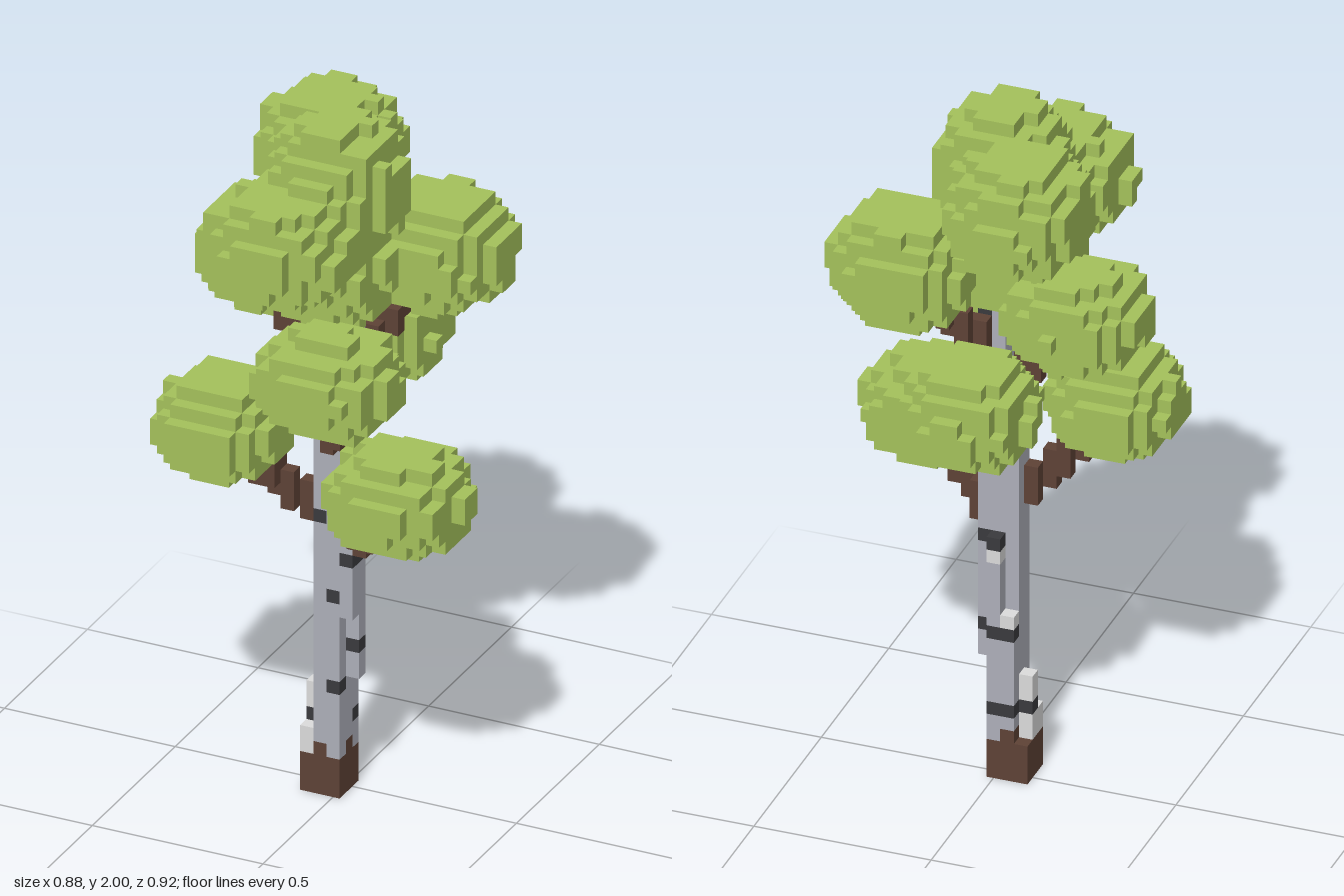
import * as THREE from 'three';

const V = 2 / 52; // edge of one cube
const mat = (name, color) => new THREE.MeshStandardMaterial({ name, color });

export function createModel() {
  const mats = {
    leaf: mat('leaf green', 0xa4c15b),
    bark: mat('grey bark', 0xadafb9),
    pale: mat('pale bark', 0xdcdcdc),
    dark: mat('dark bark mark', 0x3a3a3d),
    wood: mat('brown wood', 0x5e4236),
  };
  const cells = new Map(); // every filled cube, used to skip hidden faces
  const parts = new Map(); // part name -> material and its cubes
  const key = (i, j, k) => `${i},${j},${k}`;

  function put(part, material, i, j, k) {
    const id = key(i, j, k);
    if (cells.has(id)) return;
    cells.set(id, part);
    if (!parts.has(part)) parts.set(part, { material, list: [] });
    parts.get(part).list.push([i, j, k]);
  }
  function fill(part, material, [i0, i1], [j0, j1], [k0, k1]) {
    for (let i = i0; i <= i1; i++)
      for (let j = j0; j <= j1; j++)
        for (let k = k0; k <= k1; k++) put(part, material, i, j, k);
  }

  // Dark marks and pale patches sit in the trunk surface, so they are placed first
  const marks = [
    [0, 8, 1], [0, 15, 1], [1, 11, 0], [0, 11, -1], [-1, 11, -1], [-2, 5, 0], [-1, 5, -1],
    [0, 5, -1], [-1, 21, 1], [0, 27, 1], [-1, 30, 1], [1, 36, 0],
  ];
  for (const m of marks) put('barkMarks', mats.dark, ...m);
  fill('barkMarks', mats.dark, [1, 1], [18, 18], [0, 1]);
  put('barkMarks', mats.dark, 0, 18, -1);
  fill('palePatches', mats.pale, [-2, -2], [3, 7], [0, 0]);
  fill('palePatches', mats.pale, [-2, -2], [3, 4], [1, 1]);
  put('palePatches', mats.pale, 0, 17, -1);
  put('palePatches', mats.pale, -1, 12, -1);
  put('palePatches', mats.pale, -1, 29, 1);

  // Brown foot with a ragged rim
  fill('trunkFoot', mats.wood, [-2, 0], [0, 2], [-1, 1]);
  for (const [i, k] of [[-1, 1], [0, 0], [-1, -1]]) put('trunkFoot', mats.wood, i, 3, k);

  // Leaning trunk, shifting sideways and forward in steps
  fill('trunk', mats.bark, [-1, 0], [3, 18], [0, 1]);
  fill('trunk', mats.bark, [-1, -1], [3, 11], [-1, -1]);
  fill('trunk', mats.bark, [0, 0], [3, 17], [-1, -1]);
  fill('trunk', mats.bark, [1, 1], [9, 13], [0, 0]);
  fill('trunk', mats.bark, [1, 1], [14, 17], [0, 1]);
  fill('trunk', mats.bark, [-1, 1], [19, 31], [0, 1]);
  fill('trunk', mats.bark, [0, 1], [32, 36], [0, 1]);

  // Branches: stepped lines of cubes, two high, from the trunk into the leaves
  const branches = [
    [[0.05, 0.72, 0.05], [0.2, 0.93, 0.15]],
    [[-0.05, 0.83, 0.05], [-0.24, 1.0, 0.16]],
    [[0.01, 1.07, 0.09], [0.08, 1.26, 0.26]],
    [[0, 0.98, -0.02], [-0.02, 1.15, -0.23]],
    [[-0.05, 1.18, 0.02], [-0.12, 1.3, -0.02], [-0.24, 1.36, -0.06]],
    [[0.04, 1.29, -0.01], [0.16, 1.46, -0.13]],
  ];
  branches.forEach((path, n) => {
    for (let m = 1; m < path.length; m++)
      for (let t = 0; t <= 1; t += 1 / 24) {
        const p = path[m - 1].map((v, c) => v + (path[m][c] - v) * t);
        const i = Math.round(p[0] / V), j = Math.floor(p[1] / V), k = Math.floor(p[2] / V);
        fill(`branch${n + 1}`, mats.wood, [i, i], [j, j + 1], [k, k]);
      }
  });

  // Leaf clumps: centre and half sizes
  const clumps = [
    [[0, 1.81, 0.05], [0.174, 0.19, 0.17]],
    [[-0.115, 1.81, -0.15], [0.185, 0.155, 0.19]],
    [[-0.07, 1.71, 0.245], [0.2, 0.145, 0.178]],
    [[0.21, 1.585, -0.14], [0.19, 0.155, 0.175]],
    [[-0.25, 1.485, -0.075], [0.187, 0.135, 0.172]],
    [[-0.02, 1.585, 0.055], [0.18, 0.162, 0.175]],
    [[0.095, 1.355, 0.29], [0.19, 0.135, 0.172]],
    [[-0.27, 1.1, 0.175], [0.172, 0.135, 0.175]],
    [[0.237, 0.985, 0.165], [0.19, 0.135, 0.18]],
    [[-0.02, 1.255, -0.27], [0.175, 0.14, 0.187]],
  ];
  clumps.forEach(([c, r], n) => {
    for (let i = -11; i <= 11; i++)
      for (let j = 18; j < 52; j++)
        for (let k = -12; k < 12; k++) {
          const p = [i * V, (j + 0.5) * V, (k + 0.5) * V];
          const d = p.reduce((s, v, a) => s + Math.abs((v - c[a]) / r[a]) ** 2.2, 0);
          const rough = 0.08 * Math.sin(i * 12.9 + j * 7.2 + k * 4.7 + n);
          if (d + rough <= 1) put(`leafClump${n + 1}`, mats.leaf, i, j, k);
        }
  });

  // One mesh per part, made of the exposed cube faces only
  const tree = new THREE.Group();
  tree.name = 'tree';
  const corners = [[-1, -1], [1, -1], [1, 1], [-1, -1], [1, 1], [-1, 1]];
  for (const [name, { material, list }] of parts) {
    const pos = [];
    for (const cell of list)
      for (let a = 0; a < 3; a++)
        for (const s of [-1, 1]) {
          const next = [...cell];
          next[a] += s;
          if (cells.has(key(...next))) continue;
          const centre = [cell[0] * V, (cell[1] + 0.5) * V, (cell[2] + 0.5) * V];
          for (const [u, w] of corners) {
            const p = [...centre];
            p[a] += (s * V) / 2;
            p[(a + 1) % 3] += (s * u * V) / 2; // mirrored for the far side to keep faces outward
            p[(a + 2) % 3] += (w * V) / 2;
            pos.push(...p);
          }
        }
    if (!pos.length) continue;
    const geo = new THREE.BufferGeometry();
    geo.setAttribute('position', new THREE.Float32BufferAttribute(pos, 3));
    geo.computeVertexNormals();
    const mesh = new THREE.Mesh(geo, material);
    mesh.name = name;
    tree.add(mesh);
  }
  return tree;
}
